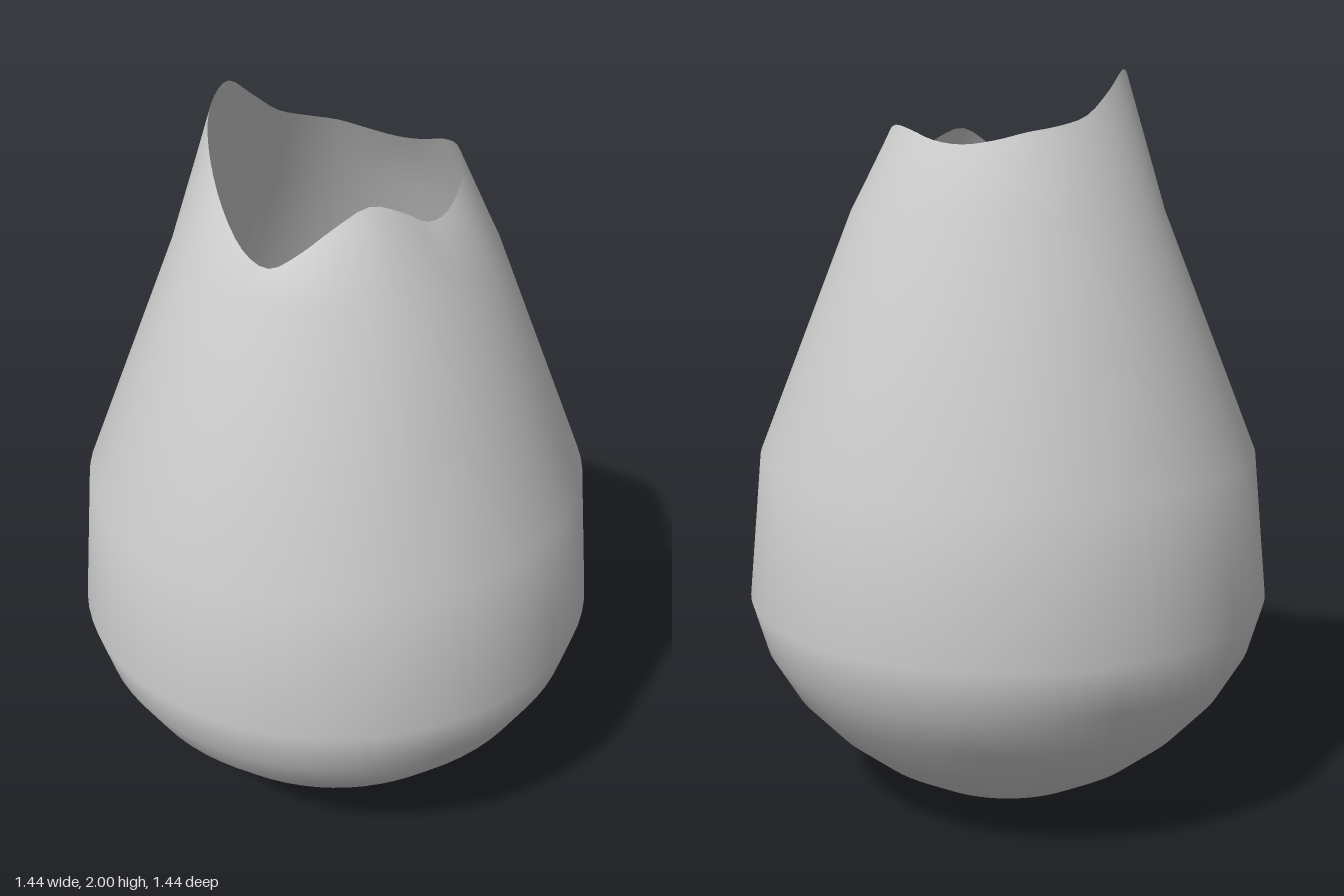
import * as THREE from 'three';
import { mergeVertices } from 'three/addons/utils/BufferGeometryUtils.js';

// Shell profile from the base up to the shoulder: radius, height
const PROFILE = [
  [0, 0.005], [0.145, 0.02], [0.28, 0.06], [0.4, 0.13], [0.51, 0.22], [0.61, 0.33],
  [0.68, 0.45], [0.72, 0.59], [0.68, 0.99], [0.42, 1.64],
];
const RIM_RADIUS = 0.315;

// Height of the broken rim every 15 degrees, from +x towards +z
const RIM_HEIGHTS = [
  1.815, 1.782, 1.78, 1.825, 1.85, 1.8, 1.73, 1.678, 1.705, 1.785, 1.875, 1.945,
  1.985, 2.0, 1.945, 1.885, 1.86, 1.845, 1.825, 1.815, 1.825, 1.85, 1.862, 1.845,
];

export function createModel() {
  const rim = new THREE.CatmullRomCurve3(
    RIM_HEIGHTS.map((y) => new THREE.Vector3(0, y, 0)), true, 'catmullrom');

  // Turned shell, with the last ring as the rim
  const points = [...PROFILE, [RIM_RADIUS, 1.8]].map(([r, y]) => new THREE.Vector2(r, y));
  let geometry = new THREE.LatheGeometry(points, 72);

  // Raise and lower the rim along its wavy outline
  const pos = geometry.attributes.position;
  for (let i = points.length - 1; i < pos.count; i += points.length) {
    const turn = Math.atan2(pos.getZ(i), pos.getX(i)) / (2 * Math.PI);
    pos.setY(i, rim.getPoint((turn + 1) % 1).y);
  }

  // Weld the seam so the shading is smooth all round
  geometry.deleteAttribute('uv');
  geometry.deleteAttribute('normal');
  geometry = mergeVertices(geometry, 1e-4);
  geometry.computeVertexNormals();

  const shell = new THREE.Mesh(geometry, new THREE.MeshStandardMaterial({
    color: 0xcccccc, side: THREE.DoubleSide,
  }));
  shell.name = 'brokenEggShell';

  const group = new THREE.Group();
  group.name = 'openEgg';
  group.add(shell);
  return group;
}
